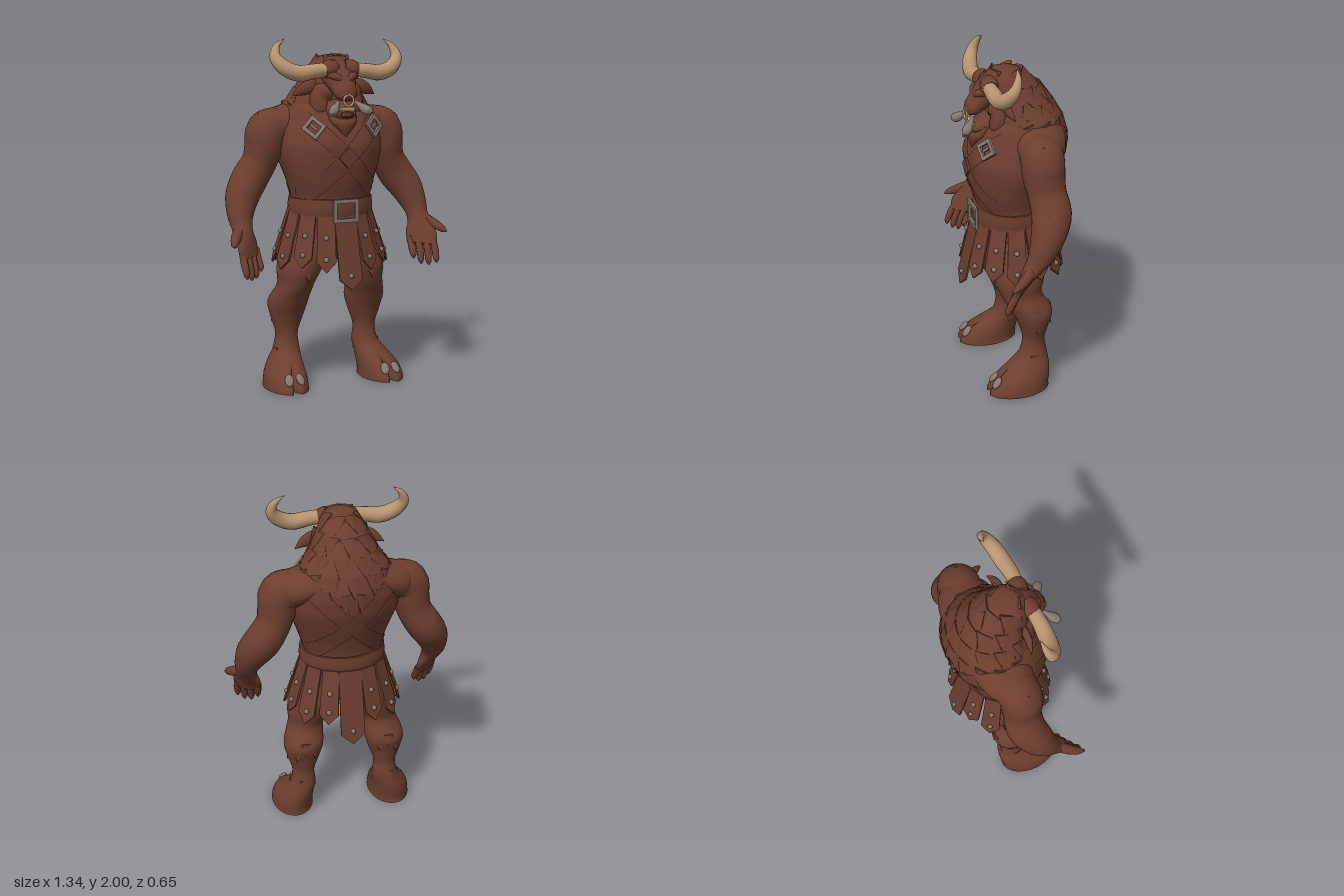
import * as THREE from 'three';

const mat = (name, color, side = THREE.FrontSide) =>
  Object.assign(new THREE.MeshStandardMaterial({ color, side }), { name });
const V = (x, y, z) => new THREE.Vector3(x, y, z);
const clamp = THREE.MathUtils.clamp;

// Body sections: [y, half width, front z, back z]
const TORSO = [[0.76, 0.13, 0.08, -0.08], [0.8, 0.2, 0.14, -0.13], [0.87, 0.235, 0.17, -0.15], [1, 0.235, 0.2, -0.17], [1.1, 0.235, 0.215, -0.18],
  [1.2, 0.262, 0.245, -0.21], [1.3, 0.298, 0.26, -0.25], [1.4, 0.322, 0.25, -0.285], [1.5, 0.318, 0.225, -0.3],
  [1.58, 0.285, 0.19, -0.29], [1.66, 0.22, 0.15, -0.25], [1.72, 0.15, 0.11, -0.2]];
const MANE = [[1.46, 0.18, 0.04, -0.3], [1.54, 0.25, 0.11, -0.305], [1.62, 0.255, 0.15, -0.28], [1.7, 0.2, 0.16, -0.235],
  [1.8, 0.145, 0.165, -0.16], [1.86, 0.115, 0.16, -0.095], [1.9, 0.075, 0.135, -0.035], [1.918, 0.006, 0.07, 0.055]];
const rings = (sections) => sections.map(([y, r, f, b]) => [0, y, (f + b) / 2, r, (f - b) / 2]);

// Section at a given height: half width, centre z, half depth
function sectionAt(sections, y) {
  let i = 0;
  while (i < sections.length - 2 && sections[i + 1][0] < y) i++;
  const a = sections[i], b = sections[i + 1], t = clamp((y - a[0]) / (b[0] - a[0]), 0, 1);
  const [, r, f, k] = a.map((v, j) => v + (b[j] - v) * t);
  return { r, c: (f + k) / 2, d: (f - k) / 2 };
}
const manePoint = (y, a) => {
  const s = sectionAt(MANE, y);
  return V(Math.sin(a) * s.r, y, s.c + Math.cos(a) * s.d);
};
const pec = (x, y) => 0.022 * Math.exp(-(((Math.abs(x) - 0.13) / 0.09) ** 2) - ((y - 1.42) / 0.08) ** 2);

// Smooth solid through elliptical rings [x, y, z, radius, depth radius]; flat keeps the rings level
function sweep(path, { seg = 16, steps = 4, flat = false, deform = null } = {}) {
  const curve = new THREE.CatmullRomCurve3(path.map((p) => V(p[0], p[1], p[2])));
  const radii = new THREE.CatmullRomCurve3(path.map((p) => V(p[3], p[4] ?? p[3], 0)));
  const n = (path.length - 1) * steps, pos = [], idx = [], ring = [], centres = [];
  for (let i = 0; i <= n; i++) {
    const c = curve.getPoint(i / n), r = radii.getPoint(i / n);
    const T = flat ? V(0, Math.sign(path[path.length - 1][1] - path[0][1]), 0) : curve.getTangent(i / n);
    const U = V(0, 0, 1).cross(T).normalize(), W = T.clone().cross(U);
    centres.push(c);
    for (let j = 0; j < seg; j++) {
      const a = (j / seg) * Math.PI * 2;
      const p = c.clone().addScaledVector(U, Math.cos(a) * Math.max(r.x, 0)).addScaledVector(W, Math.sin(a) * Math.max(r.y, 0));
      if (deform) deform(p, c);
      ring.push(p);
      pos.push(p.x, p.y, p.z);
    }
  }
  for (let i = 0; i < n; i++) for (let j = 0; j < seg; j++) {
    const k = (j + 1) % seg, a = i * seg + j, b = i * seg + k;
    idx.push(a, b, a + seg, b, b + seg, a + seg);
  }
  for (const end of [0, n]) {
    const base = pos.length / 3;
    pos.push(...centres[end].toArray());
    for (let j = 0; j < seg; j++) pos.push(...ring[end * seg + j].toArray());
    for (let j = 0; j < seg; j++) {
      const a = base + 1 + j, b = base + 1 + ((j + 1) % seg);
      idx.push(...(end ? [base, a, b] : [base, b, a]));
    }
  }
  const g = new THREE.BufferGeometry();
  g.setAttribute('position', new THREE.Float32BufferAttribute(pos, 3));
  g.setIndex(idx);
  g.computeVertexNormals();
  return g;
}

export function createModel() {
  const hide = mat('brown hide', 0x6c3e2e);
  const leather = mat('brown leather', 0x693c2d, THREE.DoubleSide);
  const horn = mat('tan horn', 0xb8946f);
  const metal = mat('grey metal', 0x85776e);
  const root = new THREE.Group();
  root.name = 'hornedWarrior';

  const add = (name, geo, m = hide, x = 0, y = 0, z = 0, parent = root) => {
    const mesh = new THREE.Mesh(geo, m);
    mesh.name = name;
    mesh.position.set(x, y, z);
    parent.add(mesh);
    return mesh;
  };
  // Flat pointed lock of fur lying along dir on a surface that faces out, its root sunk in
  const tuft = (name, p, dir, out, r = 0.03, h = 0.08) => {
    const d = dir.clone().normalize(), x = d.clone().cross(out).normalize();
    const m = add(name, new THREE.ConeGeometry(r, h, 8), hide, ...p.clone().addScaledVector(d, h * 0.25).addScaledVector(out, -0.2 * r).toArray());
    m.quaternion.setFromRotationMatrix(new THREE.Matrix4().makeBasis(x, d, x.clone().cross(d)));
    m.scale.z = 0.35;
  };
  // Square buckle frame
  const frame = (name, w, h, t, parent, z) => {
    const shape = new THREE.Shape([[-w, -h], [w, -h], [w, h], [-w, h]].map((p) => new THREE.Vector2(...p)));
    shape.holes.push(new THREE.Path([[t - w, t - h], [t - w, h - t], [w - t, h - t], [w - t, t - h]].map((p) => new THREE.Vector2(...p))));
    return add(name, new THREE.ExtrudeGeometry(shape, { depth: 0.016, bevelEnabled: false }), metal, 0, 0, z, parent);
  };

  // Torso and mane
  add('torso', sweep(rings(TORSO), { seg: 40, flat: true, deform: (p) => { if (p.z > 0) p.z += pec(p.x, p.y); } }));
  add('mane', sweep(rings(MANE), { seg: 24, flat: true }));
  [[1.87, 7], [1.78, 9], [1.69, 11], [1.6, 13], [1.51, 13]].forEach(([y, n], row) => {
    for (let i = 0; i < n; i++) {
      const a = ((i + (row % 2) / 2) / n) * Math.PI * 2, out = V(Math.sin(a), 0, Math.cos(a));
      if (out.z > 0.5) continue;
      const p = manePoint(y, a), dir = manePoint(y - 0.06, a).sub(p).normalize().addScaledVector(out, 0.2);
      tuft('maneTuft', p, dir, out, 0.055, 0.12);
    }
  });
  for (let i = -2; i <= 2; i++)
    tuft('forelock', V(i * 0.03, 1.885, 0.135 - Math.abs(i) * 0.012), V(i * 0.12, -1, 0.5), V(0, 0.3, 1), 0.026, 0.1);

  // Head
  add('snout', sweep([[0, 1.82, 0.07, 0.12, 0.09], [0, 1.785, 0.14, 0.1, 0.08], [0, 1.73, 0.2, 0.075, 0.06],
    [0, 1.69, 0.245, 0.065, 0.045], [0, 1.675, 0.27, 0.035, 0.022]]));
  add('lowerJaw', sweep([[0, 1.64, 0.08, 0.12, 0.07], [0, 1.6, 0.17, 0.09, 0.045], [0, 1.58, 0.24, 0.06, 0.028], [0, 1.58, 0.268, 0.022, 0.01]]));
  add('lowerTeeth', new THREE.BoxGeometry(0.085, 0.022, 0.03), horn, 0, 1.612, 0.248);
  add('noseRing', new THREE.TorusGeometry(0.03, 0.007, 8, 20), horn, 0, 1.66, 0.275);
  add('beard', sweep([[0, 1.6, 0.17, 0.09, 0.05], [0, 1.54, 0.205, 0.08, 0.05], [0, 1.5, 0.225, 0.045, 0.03], [0, 1.455, 0.24, 0.002]], { flat: true }));

  for (const s of [1, -1]) {
    const side = s > 0 ? 'left' : 'right';
    const part = (name, path, m = hide, opt) => add(side + name, sweep(path.map(([x, ...q]) => [x * s, ...q]), opt), m);

    // Horn, ear, brow and tusk
    part('Horn', [[0.06, 1.83, 0.16, 0.038], [0.16, 1.82, 0.165, 0.042], [0.25, 1.81, 0.16, 0.046], [0.33, 1.84, 0.145, 0.043],
      [0.375, 1.9, 0.115, 0.032], [0.355, 1.96, 0.09, 0.018], [0.305, 2, 0.08, 0.001]], horn);
    part('HornCollar', [[0.03, 1.835, 0.145, 0.05], [0.07, 1.83, 0.155, 0.054], [0.105, 1.825, 0.16, 0.043]]);
    part('Ear', [[0.09, 1.735, 0.08, 0.025, 0.015], [0.15, 1.735, 0.09, 0.04, 0.022], [0.2, 1.715, 0.085, 0.033, 0.018], [0.255, 1.685, 0.07, 0.003]]);
    part('Brow', [[0.01, 1.765, 0.225, 0.014], [0.05, 1.79, 0.21, 0.022], [0.11, 1.81, 0.14, 0.015]]);
    part('Cheek', [[0.05, 1.72, 0.1, 0.06], [0.1, 1.67, 0.1, 0.06], [0.1, 1.6, 0.12, 0.05], [0.07, 1.55, 0.13, 0.01]]);
    part('Tusk', [[0.05, 1.655, 0.245, 0.007], [0.07, 1.635, 0.265, 0.015], [0.095, 1.61, 0.29, 0.027], [0.112, 1.599, 0.31, 0.025], [0.118, 1.593, 0.325, 0.004]], metal);
    [[0.13, 1.62, 0.09, 0.12], [0.17, 1.66, 0.05, 0.13], [0.21, 1.62, 0, 0.13], [0.13, 1.77, 0.07, 0.09]].forEach(([x, y, z, h]) =>
      tuft('cheekTuft', V(s * x, y, z), V(s * 0.75, -1, 0.05), V(0, 0, 1), 0.045, h));

    // Trapezius
    part('Trapezius', [[0.04, 1.6, -0.1, 0.08, 0.12], [0.18, 1.56, -0.09, 0.085, 0.15], [0.3, 1.51, -0.065, 0.1, 0.135], [0.38, 1.48, -0.055, 0.06, 0.08]], hide, { seg: 20 });

    // Arm, with the palm turned inwards
    const turn = (p, c) => { p.z += (p.x - c.x) * s * 0.75 * clamp((0.97 - p.y) / 0.1, 0, 1); };
    part('Arm', [[0.21, 1.49, -0.07, 0.1, 0.12], [0.3, 1.505, -0.06, 0.108, 0.122], [0.36, 1.475, -0.05, 0.125, 0.12], [0.383, 1.39, -0.05, 0.112, 0.118],
      [0.41, 1.3, -0.06, 0.1, 0.108], [0.465, 1.21, -0.065, 0.104, 0.112], [0.522, 1.12, -0.03, 0.098, 0.1], [0.552, 1.03, 0.015, 0.078, 0.078],
      [0.56, 0.96, 0.055, 0.062, 0.058], [0.558, 0.91, 0.09, 0.063, 0.05], [0.55, 0.85, 0.125, 0.074, 0.038], [0.543, 0.79, 0.15, 0.068, 0.026]],
    hide, { seg: 24, deform: turn });
    [0.71, 0.68, 0.675, 0.69].forEach((tip, i) => {
      const x = 0.488 + i * 0.037, z = (i - 1.5) * 0.026;
      part('Finger', [[x, 0.83, 0.13 + z, 0.02], [x, 0.77, 0.165 + z, 0.022], [x - 0.004, tip + 0.025, 0.19 + z, 0.019], [x - 0.004, tip, 0.195 + z, 0.006]], hide, { seg: 8 });
    });
    part('Thumb', [[0.585, 0.94, 0.09, 0.032], [0.622, 0.91, 0.14, 0.03], [0.65, 0.885, 0.19, 0.022], [0.662, 0.87, 0.225, 0.006]], hide, { seg: 10 });
    [[0.43, 1.56], [0.47, 1.5], [0.482, 1.43], [0.485, 1.36], [0.565, 1.22], [0.595, 1.16], [0.612, 1.09], [0.617, 1.02]].forEach(([x, y], i) =>
      tuft('armTuft', V(s * (x - 0.004), y, i < 4 ? -0.05 : -0.04 + (i - 4) * 0.02), V(s * (i < 6 ? 0.4 : 0.2), -1, 0), V(s, 0, -0.2), 0.03, 0.08));

    // Leg with a cloven hoof
    const cleft = (p, c) => {
      if (p.y < 0.14 && p.z > c.z) p.z -= 0.075 * Math.exp(-(((p.x - c.x) / 0.013) ** 2)) * Math.min(1, (0.14 - p.y) / 0.06);
    };
    part('Leg', [[0.13, 0.92, 0, 0.11, 0.14], [0.165, 0.78, 0.01, 0.14, 0.155], [0.2, 0.68, 0.025, 0.128, 0.145], [0.222, 0.59, 0.02, 0.105, 0.12],
      [0.245, 0.49, -0.035, 0.118, 0.12], [0.25, 0.39, -0.045, 0.096, 0.086], [0.252, 0.29, -0.045, 0.066, 0.066],
      [0.257, 0.2, -0.04, 0.078, 0.085], [0.283, 0.13, 0.005, 0.1, 0.135], [0.3, 0.07, 0.05, 0.117, 0.175], [0.305, 0.02, 0.07, 0.122, 0.188], [0.305, 0, 0.07, 0.124, 0.19]],
    hide, { seg: 64, flat: true, deform: cleft });
    for (const o of [-0.034, 0.034]) {
      const nail = add('hoofNail', new THREE.SphereGeometry(1, 14, 8), metal, s * (0.305 + o), 0.076, 0.211);
      nail.scale.set(0.026, 0.039, 0.014);
      nail.rotation.set(-0.75, s * o * 8, 0, 'YXZ');
    }
    [[0.355, 0.5, -0.03, 1, 0], [0.342, 0.42, -0.04, 1, 0], [0.25, 0.5, -0.15, 0, -1], [0.2, 0.47, -0.135, -0.4, -1], [0.3, 0.45, -0.13, 0.4, -1],
      [0.316, 0.28, -0.04, 1, 0], [0.335, 0.19, -0.03, 1, 0], [0.26, 0.22, -0.12, 0, -1], [0.185, 0.21, -0.04, -1, 0], [0.2, 0.68, 0.165, 0, 1]].forEach(([x, y, z, dx, dz]) =>
      tuft('legTuft', V(s * x, y, z), V(s * dx * 0.25, -1, dz * 0.25), V(s * dx, 0, dz), 0.03, 0.08));

    // Crossed straps, front and back
    for (const f of [1, -1]) {
      const strap = new THREE.PlaneGeometry(1, 1, 30, 4), p = strap.attributes.position;
      for (let i = 0; i < p.count; i++) {
        const t = p.getX(i) + 0.5, w = p.getY(i) * 0.07;
        const y = 1.61 - t * 0.5 + w, q = sectionAt(TORSO, y);
        const x = clamp(s * (0.275 - t * 0.5 - w), -q.r * 0.98, q.r * 0.98);
        p.setXYZ(i, x, y, q.c + f * (q.d * Math.sqrt(1 - (x / q.r) ** 2) + 0.01) + (f > 0 ? pec(x, y) : 0));
      }
      strap.computeVertexNormals();
      add(f > 0 ? 'chestStrap' : 'backStrap', strap, leather);
    }
    const buckle = new THREE.Group();
    buckle.name = side + 'StrapBuckle';
    buckle.position.set(s * 0.182, 1.51, 0.208);
    buckle.rotation.set(-0.25, s * 0.45, 0);
    root.add(buckle);
    frame('buckleFrame', 0.052, 0.048, 0.021, buckle, 0).rotation.z = s * Math.PI / 4;
    add('bucklePin', new THREE.BoxGeometry(0.014, 0.05, 0.012), metal, 0, 0, 0.008, buckle).rotation.z = -s * Math.PI / 4;
  }
  const plate = add('chestPlate', new THREE.BoxGeometry(0.085, 0.085, 0.012), leather, 0, 1.34, 0.275);
  plate.rotation.z = Math.PI / 4;

  // Belt and buckle
  add('belt', sweep([[0, 0.99, 0.02, 0.247, 0.212], [0, 1.045, 0.02, 0.252, 0.218], [0, 1.1, 0.02, 0.247, 0.212]], { seg: 40, flat: true }), leather);
  frame('beltBuckle', 0.078, 0.066, 0.022, root, 0.234).position.y = 1.036;

  // Kilt of studded leather strips
  const N = 14;
  for (let i = 0; i < N; i++) {
    const a = (i / N) * Math.PI * 2, long = i % (N / 2) === 0;
    const L = long ? 0.44 : i % 2 ? 0.34 : 0.32, w = long ? 0.066 : 0.047, e = long ? 0.07 : 0.056;
    const strip = new THREE.Group();
    strip.name = 'kiltStrip';
    strip.position.set(0.235 * Math.sin(a), 1.02, 0.01 + 0.205 * Math.cos(a));
    strip.rotation.order = 'YXZ';
    strip.rotation.set(-0.24 - 0.08 * Math.abs(Math.sin(a)), Math.atan2(Math.sin(a) / 0.235, Math.cos(a) / 0.205), 0);
    root.add(strip);
    const shape = new THREE.Shape([[-w, 0], [-e, 0.06 - L], [0, -L], [e, 0.06 - L], [w, 0]].map((p) => new THREE.Vector2(...p)));
    add('strip', new THREE.ExtrudeGeometry(shape, { depth: 0.012, bevelEnabled: false }), leather, 0, 0, 0, strip);
    for (const y of long ? [0.08 - L] : [0.075 - L, -L * 0.42])
      add('stud', new THREE.SphereGeometry(0.015, 10, 8), metal, 0, y, 0.014, strip);
  }
  return root;
}
